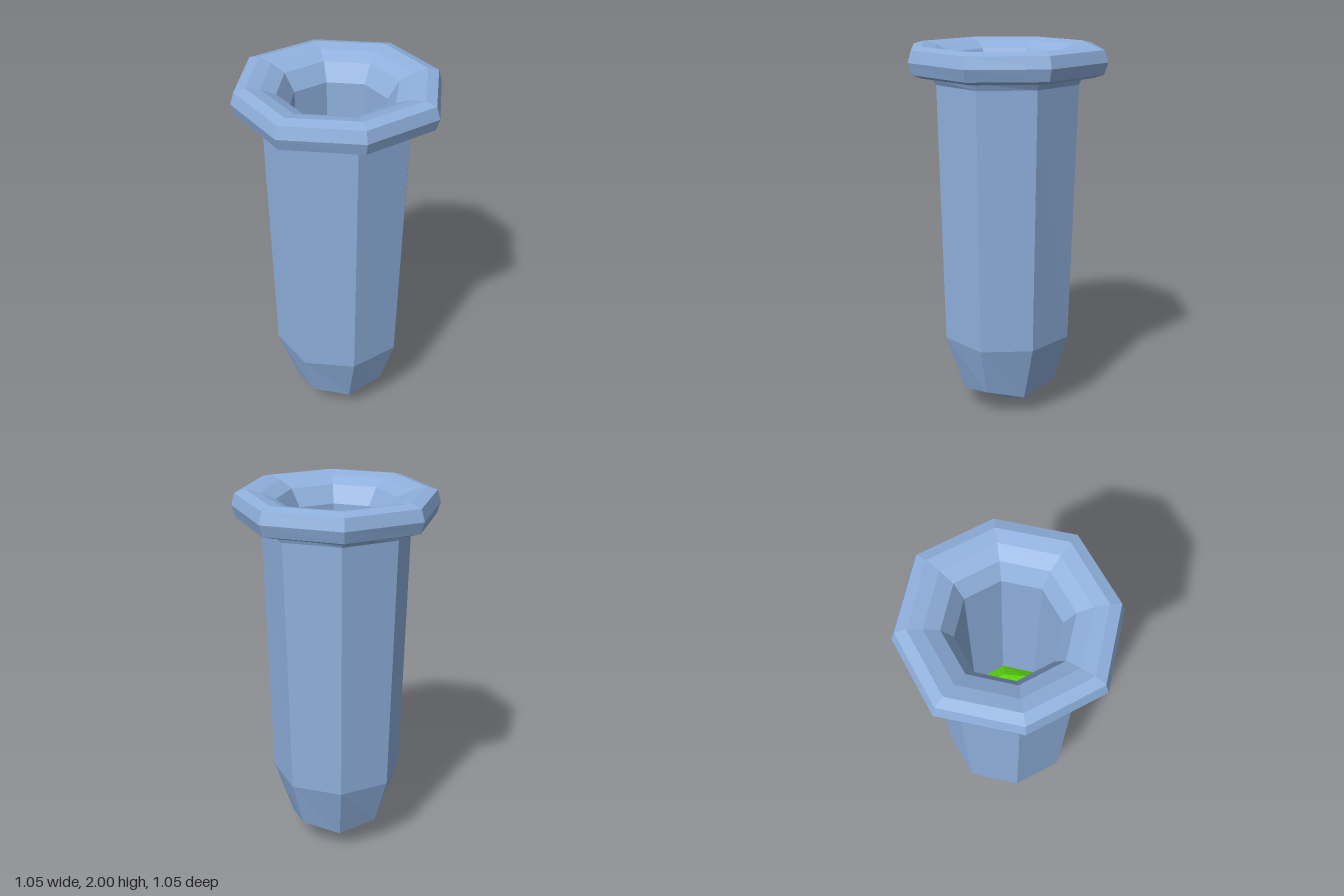
import * as THREE from 'three';

// Eight-sided turned solid. Each ring is [radius, height, diagonal radius, diagonal height];
// the last two apply to the corners at 45 degrees and default to the first two.
function turned(name, rings, color) {
  const points = rings.map(([r, y]) => new THREE.Vector2(r, y));
  const geometry = new THREE.LatheGeometry(points, 8);
  const pos = geometry.attributes.position;
  for (let i = 0; i < pos.count; i++) {
    const side = Math.floor(i / rings.length);
    if (side % 2 === 0) continue;
    const [r, y, rd = r, yd = y] = rings[i % rings.length];
    const angle = (side * Math.PI) / 4;
    pos.setXYZ(i, Math.sin(angle) * rd, yd, Math.cos(angle) * rd);
  }
  const flat = geometry.toNonIndexed();
  flat.computeVertexNormals();
  const mesh = new THREE.Mesh(flat, new THREE.MeshStandardMaterial({ color, flatShading: true }));
  mesh.name = name;
  return mesh;
}

export function createModel() {
  const group = new THREE.Group();
  group.name = 'testTube';

  // Tube: outside from the tip up, over the rolled rim and down the inside
  group.add(turned('glassTube', [
    [0, 0],
    [0.25, 0.115, 0.283, 0.165],
    [0.353, 0.435, 0.362],
    [0.38, 1.81, 0.395],
    [0.4, 1.845, 0.41],
    [0.46, 1.847, 0.47],
    [0.507, 1.865, 0.522],
    [0.525, 1.925, 0.542],
    [0.507, 1.985, 0.522],
    [0.45, 2, 0.465],
    [0.38, 1.985, 0.39],
    [0.305, 1.95, 0.312],
    [0.25, 1.86, 0.256],
    [0.226, 0.47, 0.23],
    [0.15, 0.24, 0.175, 0.27],
    [0, 0.18],
  ], 0x8fb0dd));

  // Liquid: domed pool resting in the tube
  group.add(turned('liquid', [
    [0, 0.2],
    [0.14, 0.26, 0.165, 0.29],
    [0.22, 0.48, 0.224],
    [0.23, 0.8, 0.235],
    [0.22, 0.88, 0.226],
    [0.152, 0.92, 0.177, 0.913],
    [0, 0.935],
  ], 0x60e010));

  return group;
}
